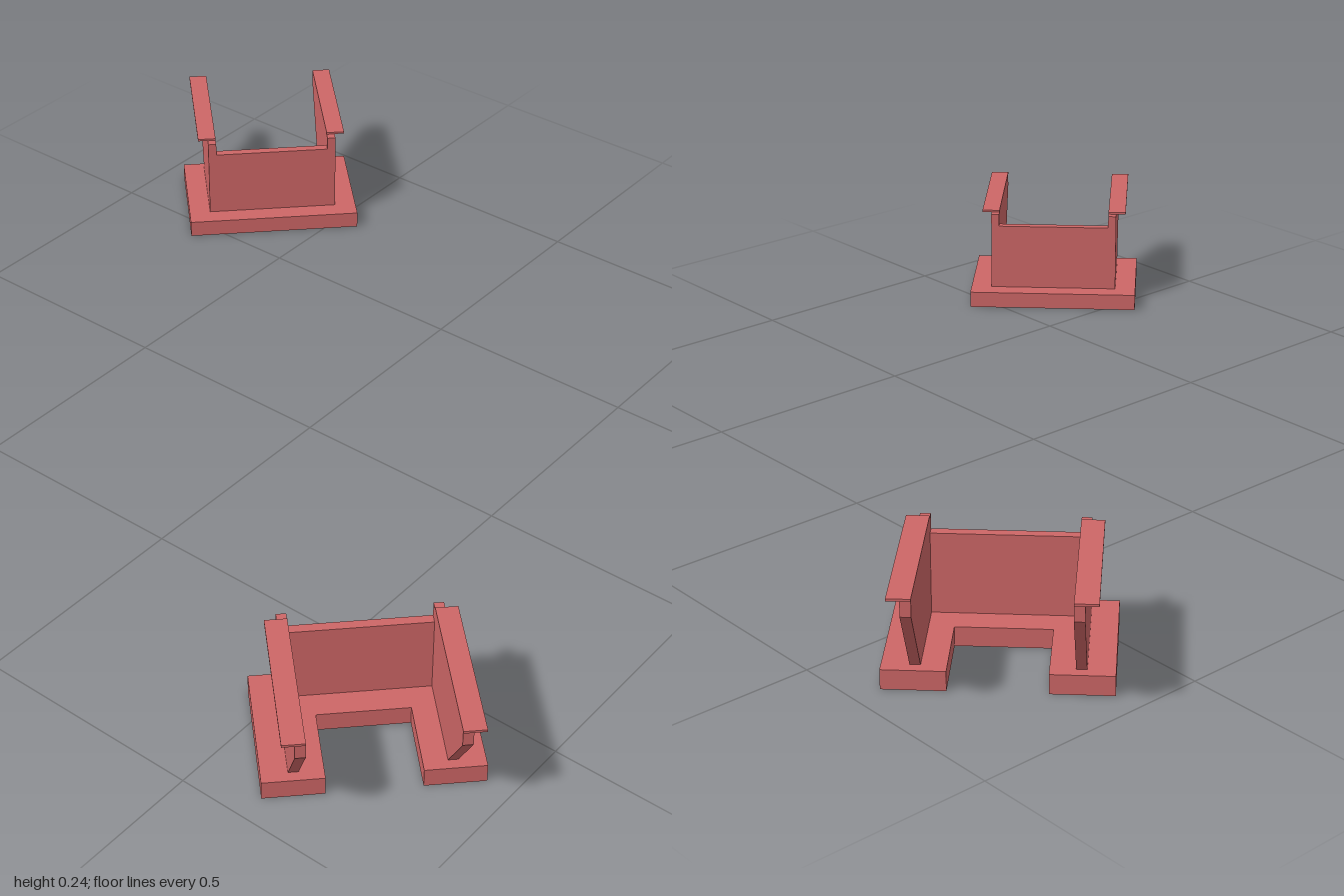
import * as THREE from 'three';

const material = new THREE.MeshStandardMaterial({ color: 0xcd6666, flatShading: true });

function add(parent, name, geometry) {
  const mesh = new THREE.Mesh(geometry, material);
  mesh.name = name;
  parent.add(mesh);
}

// Box given by its lower and upper limits on each axis
function span(x0, x1, y0, y1, z0, z1) {
  return new THREE.BoxGeometry(x1 - x0, y1 - y0, z1 - z0)
    .translate((x0 + x1) / 2, (y0 + y1) / 2, (z0 + z1) / 2);
}

function extrude(points, depth) {
  const shape = new THREE.Shape(points.map(([x, y]) => new THREE.Vector2(x, y)));
  return new THREE.ExtrudeGeometry(shape, { depth, bevelEnabled: false });
}

// One corner bracket: local +x points outward from the middle of the model
function createBracket() {
  const bracket = new THREE.Group();
  const baseTop = 0.04, wallTop = 0.236, flangeTop = 0.241;

  // U-shaped foot, open outward
  const foot = extrude([
    [0.834, -0.212], [1.122, -0.212], [1.122, -0.092], [0.955, -0.092],
    [0.955, 0.092], [1.122, 0.092], [1.122, 0.212], [0.834, 0.212],
  ], baseTop);
  foot.rotateX(-Math.PI / 2);
  add(bracket, 'foot', foot);

  // Back wall, a little lower than the side plates
  add(bracket, 'backWall', span(0.88, 0.90, baseTop, 0.205, -0.14, 0.14));

  for (const side of [-1, 1]) {
    // Side plate flaring outward towards the top
    const plate = extrude([
      [0.88, baseTop], [1.10, baseTop], [1.228, 0.205], [1.228, wallTop], [0.88, wallTop],
    ], 0.02);
    plate.translate(0, 0, side * 0.15 - 0.01);
    add(bracket, 'sidePlate', plate);

    // Thin flange along the top of the plate
    const mid = side * 0.162;
    add(bracket, 'topFlange', span(0.90, 1.23, wallTop, flangeTop, mid - 0.022, mid + 0.022));
  }
  return bracket;
}

export function createModel() {
  const model = new THREE.Group();
  model.name = 'cornerBrackets';
  // Two brackets on opposite corners, both facing outward
  [['backLeftBracket', Math.PI / 4], ['frontRightBracket', Math.PI * 1.25]].forEach(([name, angle]) => {
    const bracket = createBracket();
    bracket.name = name;
    bracket.rotation.y = angle;
    model.add(bracket);
  });
  return model;
}
